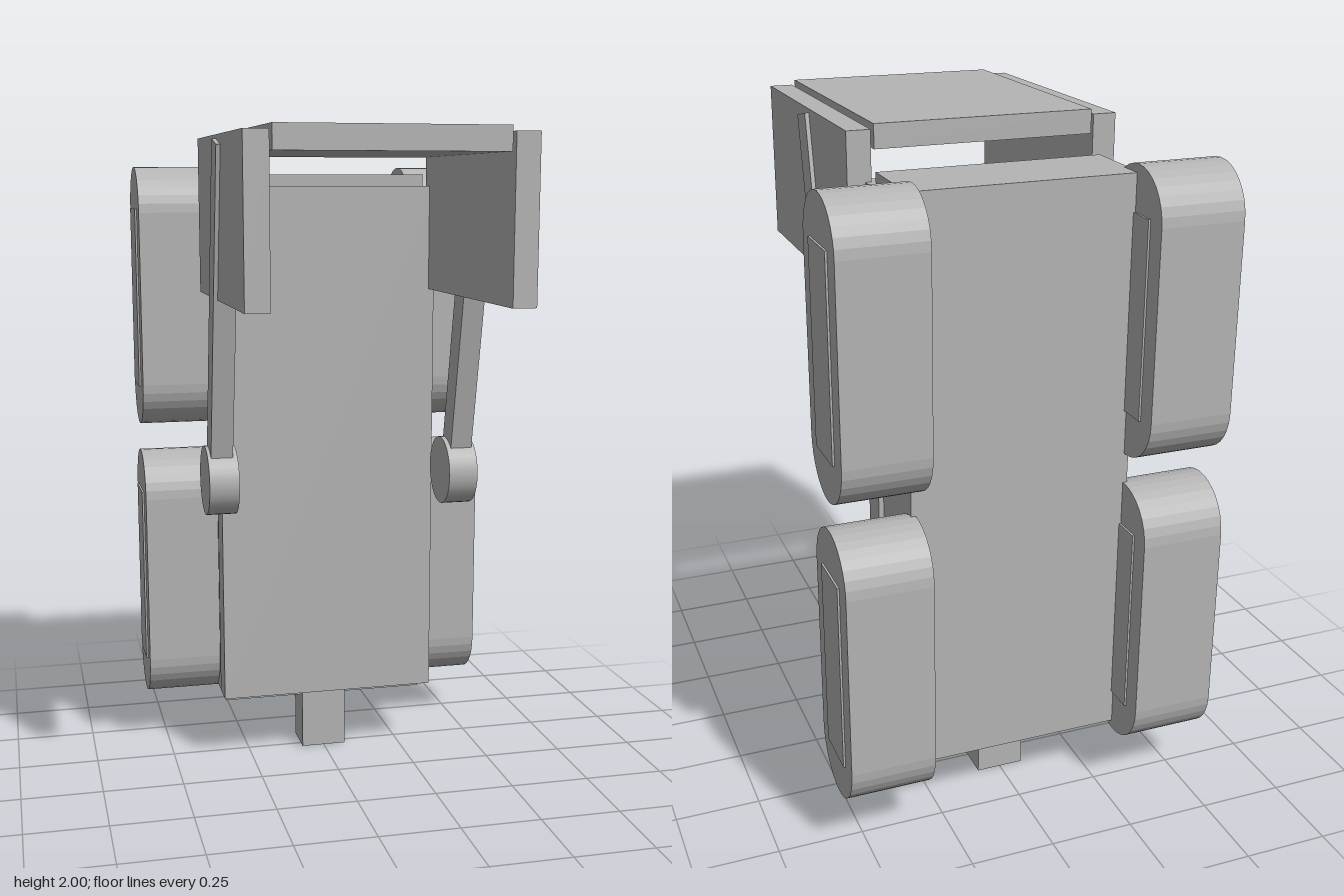
import * as THREE from 'three';

export function createModel() {
  const model = new THREE.Group();
  model.name = 'model';
  const grey = new THREE.MeshStandardMaterial({ color: 0xb4b4b4 });
  grey.name = 'grey';

  const add = (name, geometry) => {
    const mesh = new THREE.Mesh(geometry, grey);
    mesh.name = name;
    model.add(mesh);
    return mesh;
  };

  // Box given by its lower and upper limits on each axis
  const box = (name, [x0, x1], [y0, y1], [z0, z1]) => {
    const mesh = add(name, new THREE.BoxGeometry(x1 - x0, y1 - y0, z1 - z0));
    mesh.position.set((x0 + x1) / 2, (y0 + y1) / 2, (z0 + z1) / 2);
    return mesh;
  };
  const span = (side, a, b) => (side > 0 ? [a, b] : [-b, -a]);

  // Upright body, front plate, bottom stem and canopy roof
  box('body', [-0.328, 0.328], [0.18, 1.88], [-0.48, -0.228]);
  box('frontPlate', [-0.343, 0.343], [0.215, 1.845], [-0.235, -0.145]);
  box('stem', [-0.072, 0.072], [0, 0.19], [-0.342, -0.22]);
  box('canopyRoof', [-0.318, 0.318], [1.932, 2], [-0.188, 0.625]);

  // Stadium outline of a pod, extruded sideways
  const r = 0.1425, half = 0.2725;
  const outline = new THREE.Shape();
  outline.absarc(0, half, r, 0, Math.PI, false);
  outline.absarc(0, -half, r, Math.PI, Math.PI * 2, false);
  outline.closePath();
  const podGeometry = new THREE.ExtrudeGeometry(outline, { depth: 0.247, bevelEnabled: false, curveSegments: 8 });
  podGeometry.translate(0, 0, -0.1235);
  podGeometry.rotateY(Math.PI / 2);

  for (const side of [1, -1]) {
    const label = side > 0 ? 'left' : 'right';

    // Two pods on each side, with thin raised panels on both ends
    for (const [level, y] of [['lower', 0.57], ['upper', 1.49]]) {
      add(`${label}_${level}_pod`, podGeometry).position.set(side * 0.4385, y, -0.4865);
      box(`${label}_${level}_podPanel`, span(side, 0.309, 0.568), [y - 0.284, y + 0.284], [-0.567, -0.412]);
    }

    // Canopy side wall
    box(`${label}_canopyWall`, span(side, 0.326, 0.394), [1.525, 1.985], [-0.185, 0.63]);

    // Slanted arm from the hub to the canopy
    const low = new THREE.Vector2(0.012, 0.99), high = new THREE.Vector2(0.224, 1.965);
    const arm = add(`${label}_arm`, new THREE.BoxGeometry(0.066, low.distanceTo(high), 0.085));
    arm.position.set(side * 0.373, (low.y + high.y) / 2, (low.x + high.x) / 2);
    arm.rotation.x = Math.atan2(high.x - low.x, high.y - low.y);

    // Round hub at the foot of the arm
    const hub = add(`${label}_hub`, new THREE.CylinderGeometry(0.105, 0.105, 0.09, 32));
    hub.rotation.z = Math.PI / 2;
    hub.position.set(side * 0.371, 0.97, 0);
  }
  return model;
}
